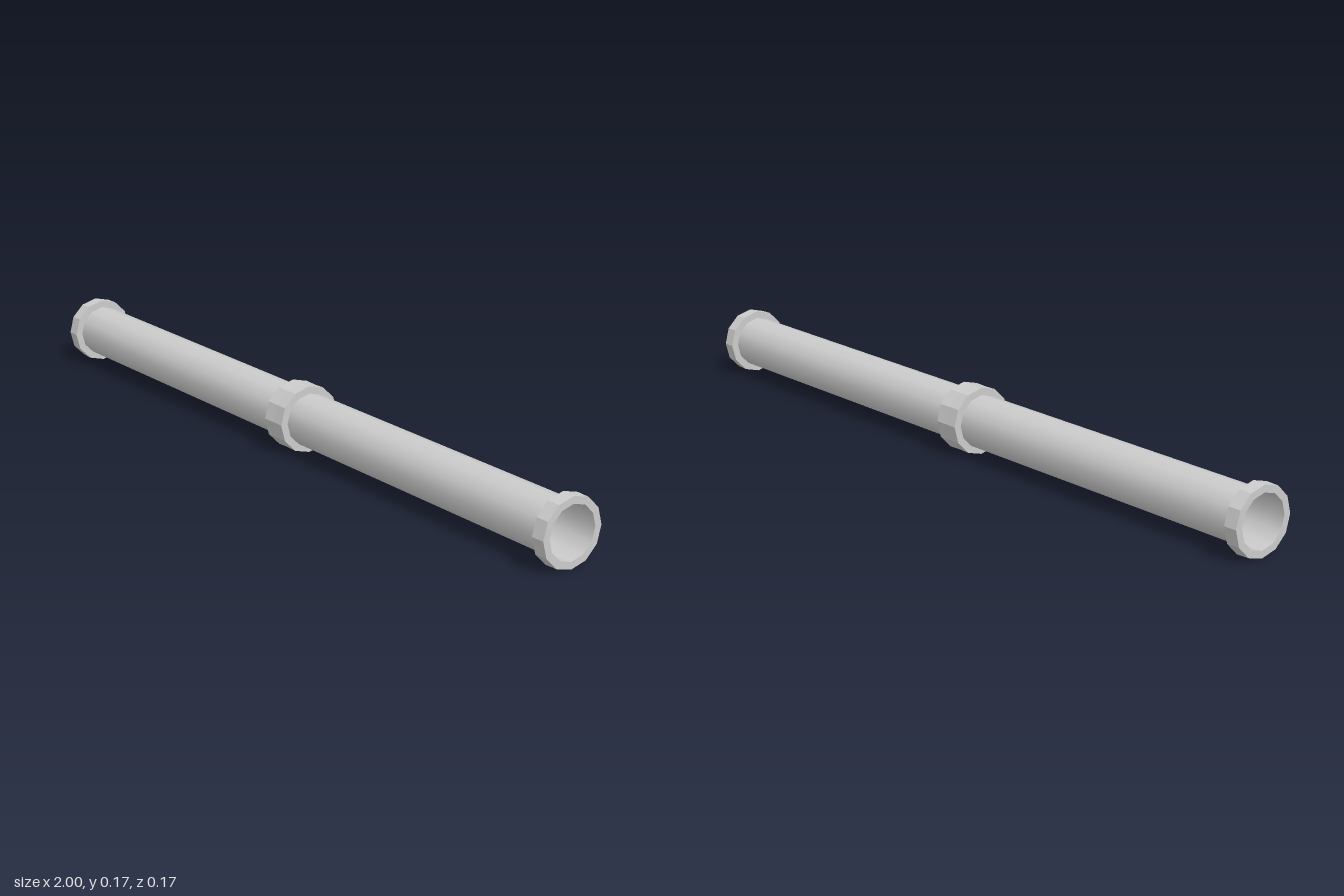
import * as THREE from 'three';

const SIDES = 12, PIPE_R = 0.068, FLANGE_R = 0.0875, FLANGE_W = 0.035;

export function createModel() {
  const group = new THREE.Group();
  group.name = 'flangedPipe';
  const grey = { color: 0xcccccc, side: THREE.DoubleSide };
  const smooth = new THREE.MeshStandardMaterial(grey);
  const faceted = new THREE.MeshStandardMaterial({ ...grey, flatShading: true });

  // Thin open tube for one section
  const tube = new THREE.CylinderGeometry(PIPE_R, PIPE_R, 1, SIDES, 1, true).rotateZ(-Math.PI / 2);

  // Collar around the tube; its outward face is very slightly narrower
  const profile = [
    [PIPE_R, 0], [FLANGE_R, 0], [FLANGE_R - 0.001, FLANGE_W], [PIPE_R, FLANGE_W],
  ].map(([r, h]) => new THREE.Vector2(r, h));
  const collar = new THREE.LatheGeometry(profile, SIDES).rotateZ(-Math.PI / 2);

  // Two equal sections, each with a collar at both ends
  for (const [side, centre] of [['right', -0.5], ['left', 0.5]]) {
    const section = new THREE.Group();
    section.name = side + 'Section';
    const pipe = new THREE.Mesh(tube, smooth);
    pipe.name = 'pipe';
    section.add(pipe);
    for (const end of [-1, 1]) {
      const flange = new THREE.Mesh(collar, faceted);
      flange.name = end < 0 ? 'rightFlange' : 'leftFlange';
      flange.position.x = end * (0.5 - FLANGE_W);
      if (end < 0) flange.rotation.y = Math.PI;
      section.add(flange);
    }
    section.position.set(centre, FLANGE_R, 0);
    group.add(section);
  }
  return group;
}
